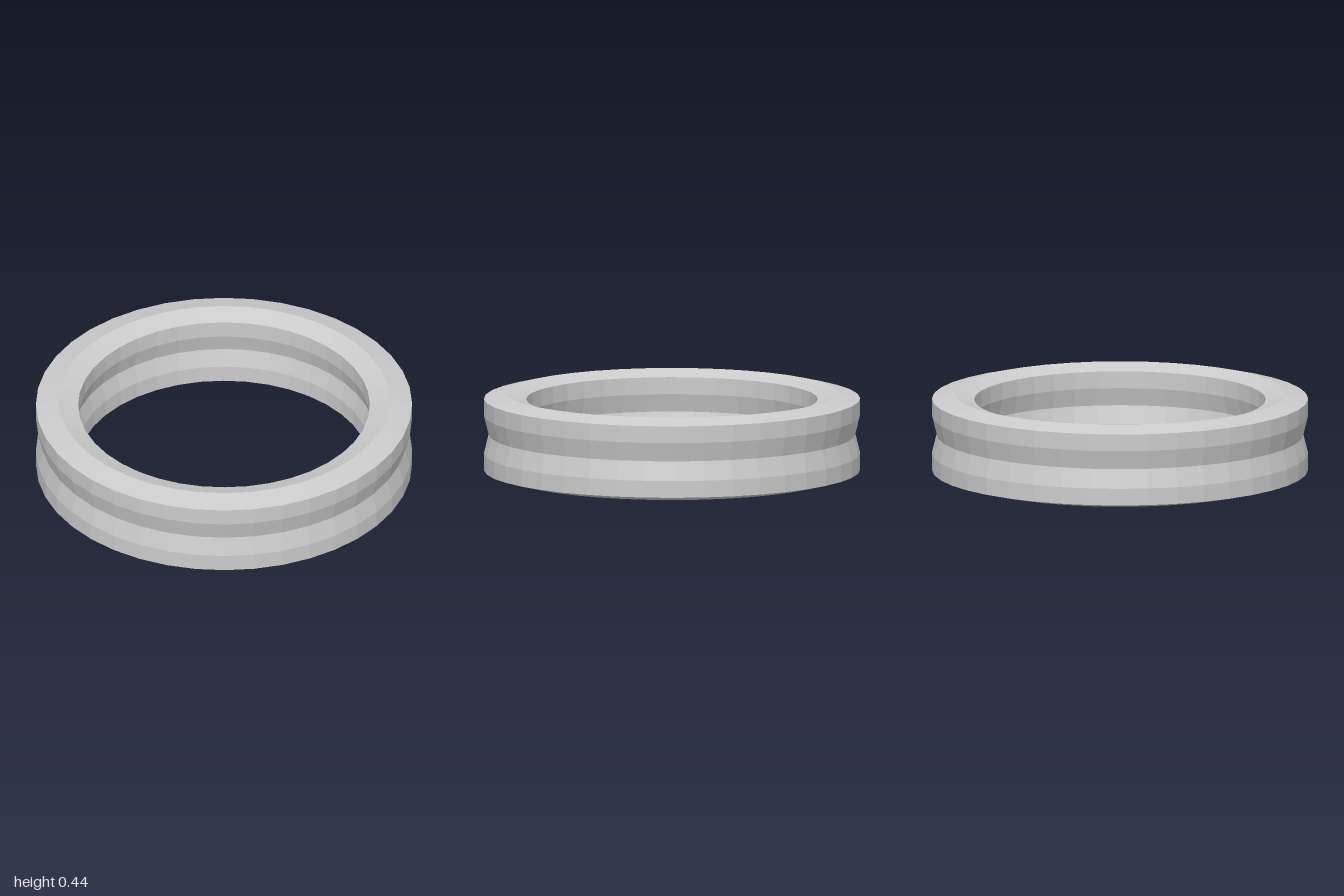
import * as THREE from 'three';

const SIDES = 40;
const MID = 0.222; // height of the ring's plane of symmetry

export function createModel() {
  const group = new THREE.Group();
  group.name = 'ring';

  // Lower half of the cross-section, from the inner groove round to the outer one: [radius, height]
  const lower = [
    [0.80, MID], [0.775, 0.125], [0.775, 0.034],
    [0.88, 0], [1, 0.03], [1, 0.12], [0.975, MID],
  ];
  // Upper half mirrors it, running back to the start to close the loop
  const upper = lower.slice(0, -1).reverse().map(([r, y]) => [r, 2 * MID - y]);
  const profile = [...lower, ...upper].map(([r, y]) => new THREE.Vector2(r, y));

  const band = new THREE.Mesh(
    new THREE.LatheGeometry(profile, SIDES),
    new THREE.MeshStandardMaterial({ color: 0xcccccc, flatShading: true }),
  );
  band.name = 'groovedBand';
  group.add(band);
  return group;
}
